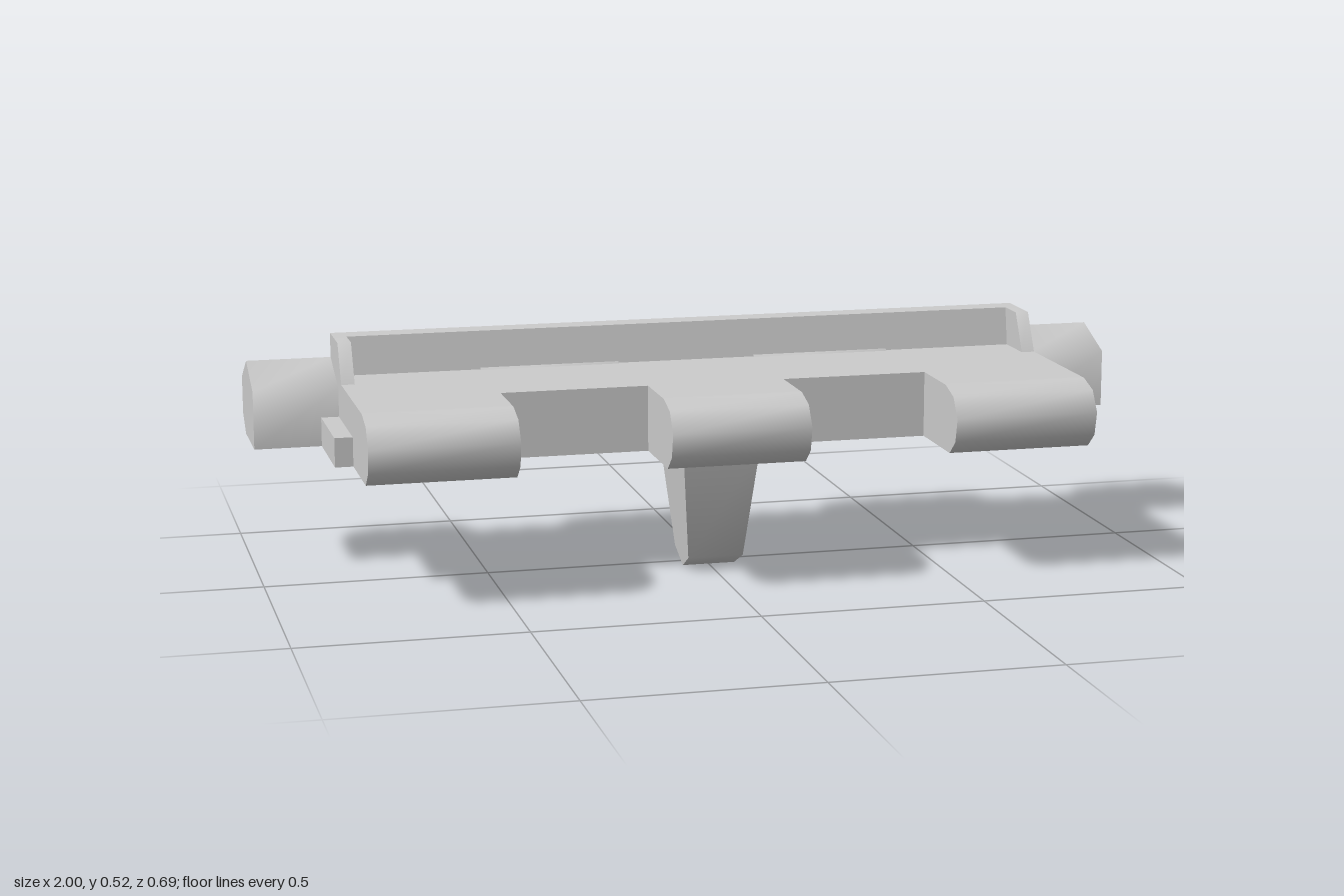
import * as THREE from 'three';
import { toCreasedNormals } from 'three/addons/utils/BufferGeometryUtils.js';

const material = new THREE.MeshStandardMaterial({ color: 0xcccccc });
const CREASE = 1.2;

// Extrudes a [z, y] side profile along x, from x0 to x1
function extrudeX(profile, x0, x1) {
  const shape = new THREE.Shape(profile.map(([z, y]) => new THREE.Vector2(-z, y)));
  const geometry = new THREE.ExtrudeGeometry(shape, { depth: x1 - x0, bevelEnabled: false });
  return geometry.rotateY(Math.PI / 2).translate(x0, 0, 0);
}

export function createModel() {
  const group = new THREE.Group();
  const add = (name, geometry) => {
    const mesh = new THREE.Mesh(toCreasedNormals(geometry, CREASE), material);
    mesh.name = name;
    group.add(mesh);
  };

  // Plate with raised rear rib; the underside of the rib overhangs the hinge recesses
  const plate = [
    [0.11, 0.285], [0.11, 0.432], [-0.167, 0.432], [-0.182, 0.518],
    [-0.237, 0.518], [-0.237, 0.463], [-0.115, 0.415], [-0.115, 0.285],
  ];
  add('plate', extrudeX(plate, -0.81, 0.81));

  // Rounded front hinge lugs
  const frontLug = [
    [0.11, 0.285], [0.11, 0.432], [0.245, 0.432], [0.26, 0.432], [0.315, 0.415],
    [0.345, 0.37], [0.333, 0.317], [0.295, 0.285], [0.28, 0.285],
  ];
  for (const [x0, x1] of [[-0.81, -0.485], [-0.155, 0.155], [0.485, 0.81]]) {
    add('frontLug', extrudeX(frontLug, x0, x1));
  }

  // Rear hinge lugs: two inner, two at the ends
  const rearLug = [
    [-0.115, 0.285], [-0.115, 0.415], [-0.237, 0.463],
    [-0.343, 0.408], [-0.343, 0.322], [-0.29, 0.285], [-0.275, 0.285],
  ];
  for (const [x0, x1] of [[-1, -0.81], [-0.48, -0.16], [0.16, 0.48], [0.81, 1]]) {
    add('rearLug', extrudeX(rearLug, x0, x1));
  }

  // Rib end gussets and side tabs, mirrored
  const gusset = [[-0.063, 0.432], [-0.11, 0.518], [-0.182, 0.518], [-0.167, 0.432]];
  const tab = [[0.107, 0.285], [0.107, 0.35], [-0.115, 0.35], [-0.115, 0.285]];
  for (const side of [-1, 1]) {
    add('ribGusset', extrudeX(gusset, side > 0 ? 0.78 : -0.81, side > 0 ? 0.81 : -0.78));
    add('sideTab', extrudeX(tab, side > 0 ? 0.81 : -0.85, side > 0 ? 0.85 : -0.81));
  }

  // Guide horn, narrowing in x towards its tip
  const horn = extrudeX([
    [0.162, 0.285], [0.107, 0.033], [0.042, 0], [-0.02, 0.033], [-0.077, 0.285],
  ], -1, 1);
  const p = horn.attributes.position;
  for (let i = 0; i < p.count; i++) {
    p.setX(i, p.getX(i) * (0.06 + 0.027 * p.getY(i) / 0.285));
  }
  add('guideHorn', horn);

  return group;
}
